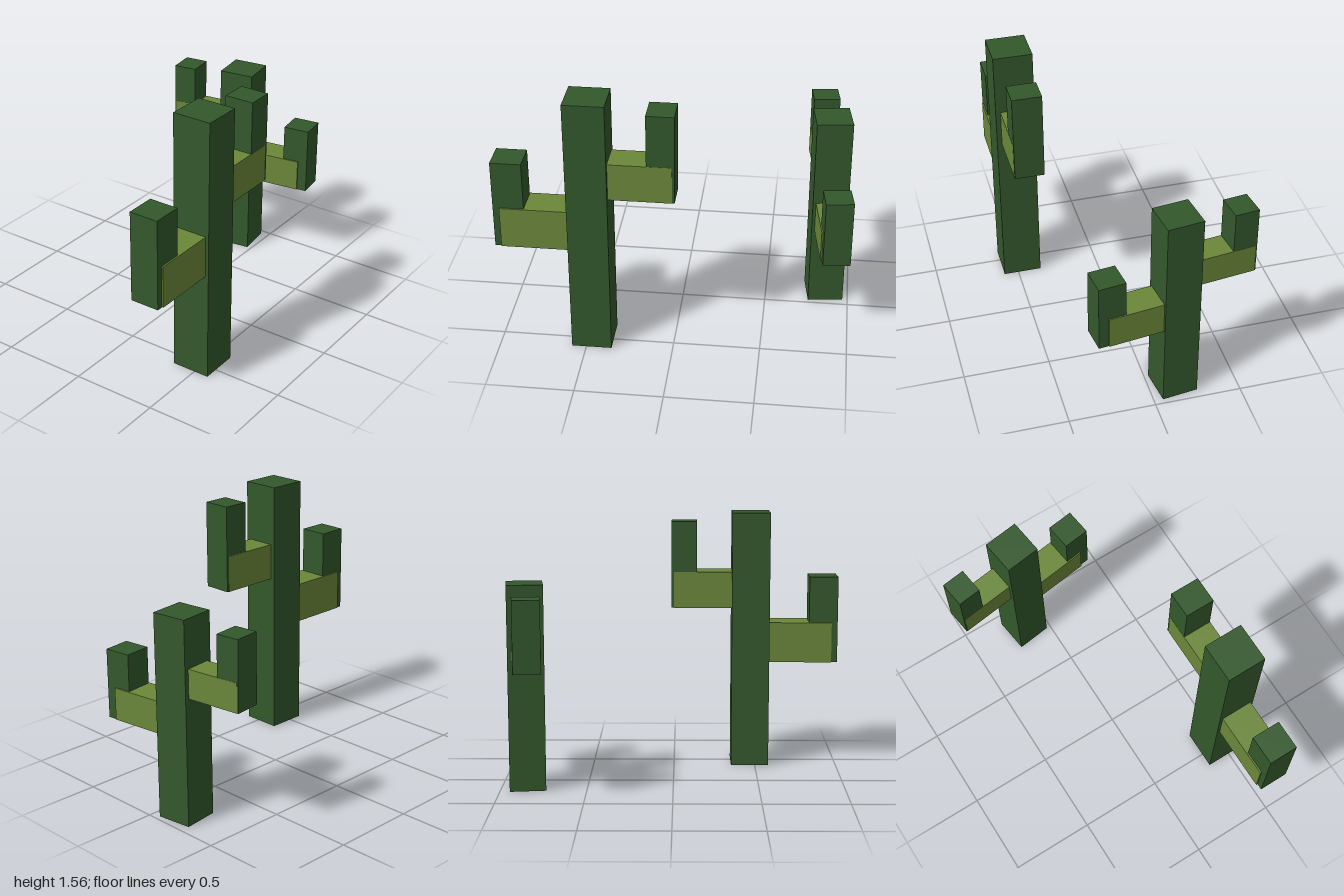
import * as THREE from 'three';

const trunkGreen = new THREE.MeshStandardMaterial({ color: 0x33582c });
trunkGreen.name = 'dark cactus green';
const armGreen = new THREE.MeshStandardMaterial({ color: 0x6b873a });
armGreen.name = 'light cactus green';

// Box from its extents along the arm axis (a), height (y) and cross width
function block(name, material, [a0, a1], [y0, y1], width) {
  const mesh = new THREE.Mesh(new THREE.BoxGeometry(a1 - a0, y1 - y0, width), material);
  mesh.position.set((a0 + a1) / 2, (y0 + y1) / 2, 0);
  mesh.name = name;
  return mesh;
}

// Elbow arm pointing along local +x: a light crossbar and a dark upright
function makeArm(name, angle, bar, upright) {
  const arm = new THREE.Group();
  arm.name = name;
  arm.rotation.y = angle;
  // Tiny offsets keep the overlapping faces apart
  const wide = bar.width > upright.width;
  const drop = wide ? 0.001 : -0.001;
  const barWidth = wide ? bar.width : bar.width + 0.002;
  arm.add(
    block('crossbar', armGreen, bar.along, bar.y, barWidth),
    block('upright', trunkGreen, upright.along, [bar.y[0] - drop, upright.top], upright.width),
  );
  return arm;
}

function makeCactus(name, width, height, arms) {
  const cactus = new THREE.Group();
  cactus.name = name;
  cactus.add(block('trunk', trunkGreen, [-width / 2, width / 2], [0, height], width));
  for (const a of arms) cactus.add(makeArm(...a));
  return cactus;
}

export function createModel() {
  const model = new THREE.Group();
  model.name = 'cacti';

  // Tall cactus with arms to both sides
  const tall = makeCactus('tallCactus', 0.23, 1.56, [
    ['rightArm', Math.PI,
      { along: [0.1, 0.495], y: [0.645, 0.89], width: 0.19 },
      { along: [0.358, 0.532], top: 1.17, width: 0.172 }],
    ['leftArm', 0,
      { along: [0.1, 0.468], y: [0.98, 1.2], width: 0.172 },
      { along: [0.328, 0.483], top: 1.505, width: 0.172 }],
  ]);
  tall.position.set(-0.468, 0, 0.473);

  // Short cactus, slightly turned, with arms to front and back
  const short = makeCactus('shortCactus', 0.21, 1.2, [
    ['frontArm', -Math.PI / 2,
      { along: [0.09, 0.425], y: [0.495, 0.685], width: 0.175 },
      { along: [0.325, 0.483], top: 0.9, width: 0.159 }],
    ['backArm', Math.PI / 2,
      { along: [0.09, 0.431], y: [0.75, 0.92], width: 0.155 },
      { along: [0.3, 0.44], top: 1.16, width: 0.155 }],
  ]);
  short.position.set(0.852, 0, -0.143);
  short.rotation.y = 0.13;

  model.add(tall, short);
  return model;
}
